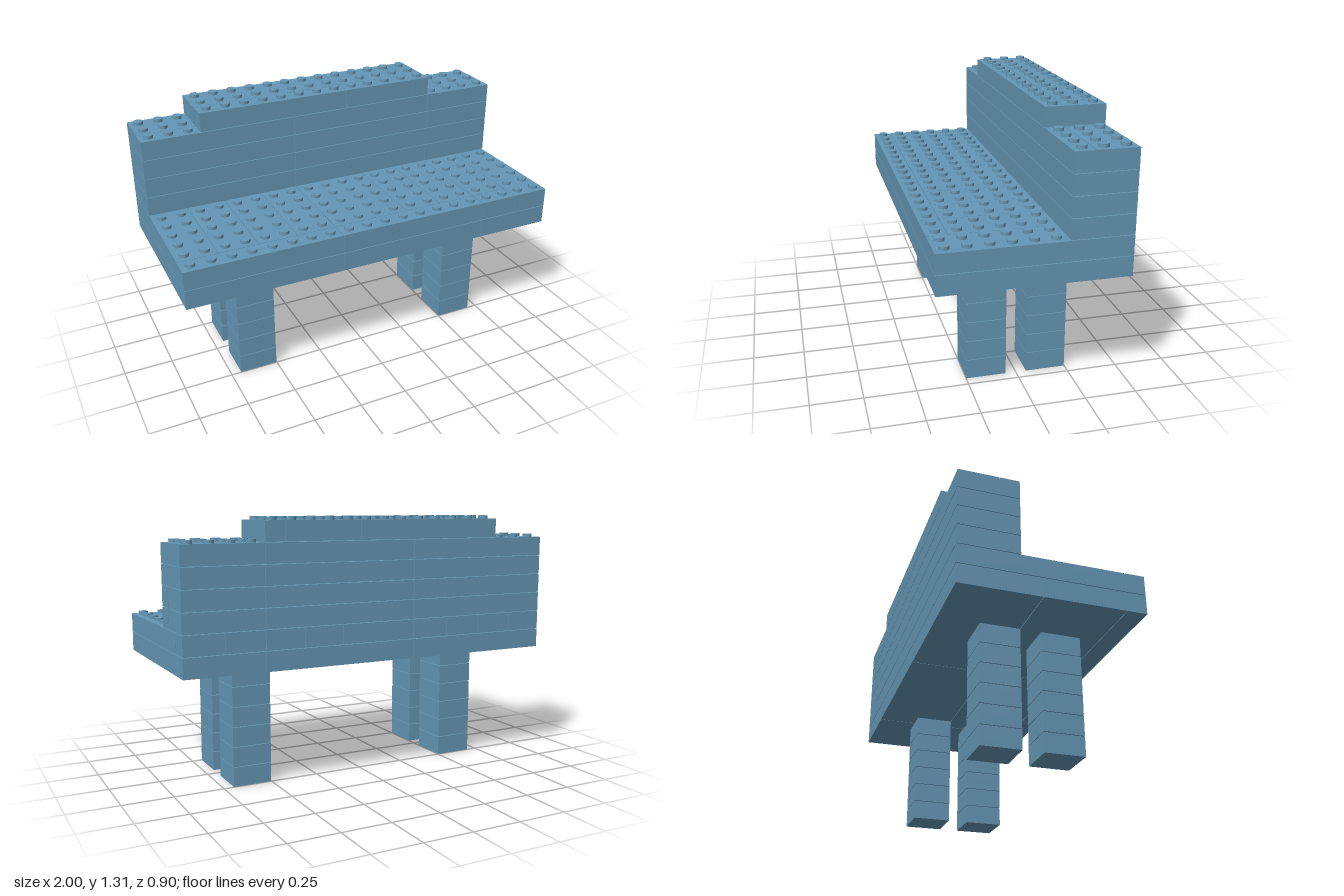
import * as THREE from 'three';

const GAP = 0.003;        // seam between neighbouring bricks
const UNIT = 0.1;         // stud pitch and brick height
const STUD_R = 0.024, STUD_H = 0.016;

export function createModel() {
  const blue = new THREE.MeshStandardMaterial({ color: 0x6596b4 });
  blue.name = 'brickBlue';
  const studGeometry = new THREE.CylinderGeometry(STUD_R, STUD_R, STUD_H, 16);
  const model = new THREE.Group();
  model.name = 'brickBench';

  function part(name) {
    const group = new THREE.Group();
    group.name = name;
    model.add(group);
    return group;
  }

  // One brick filling x0..x1 and z0..z1, one layer high from y
  function brick(group, x0, x1, y, z0, z1) {
    const geometry = new THREE.BoxGeometry(x1 - x0 - GAP, UNIT - GAP, z1 - z0 - GAP);
    const mesh = new THREE.Mesh(geometry, blue);
    mesh.name = 'brick';
    mesh.position.set((x0 + x1) / 2, y + UNIT / 2, (z0 + z1) / 2);
    group.add(mesh);
  }

  // A row of bricks split at the given x positions
  function row(group, xs, y, z0, z1) {
    for (let i = 0; i < xs.length - 1; i++) brick(group, xs[i], xs[i + 1], y, z0, z1);
  }

  // A grid of studs covering a rectangle on height y
  function studs(group, x0, x1, y, z0, z1) {
    const nx = Math.round((x1 - x0) / UNIT), nz = Math.round((z1 - z0) / UNIT);
    for (let i = 0; i < nx; i++) {
      for (let j = 0; j < nz; j++) {
        const stud = new THREE.Mesh(studGeometry, blue);
        stud.name = 'stud';
        stud.position.set(x0 + (i + 0.5) * UNIT, y - GAP / 2 + STUD_H / 2, z0 + (j + 0.5) * UNIT);
        group.add(stud);
      }
    }
  }

  // Four legs, each a stack of six square bricks
  for (const x of [-0.6, 0.6]) {
    for (const z of [-0.15, 0.15]) {
      const leg = part((z > 0 ? 'front' : 'back') + (x > 0 ? 'LeftLeg' : 'RightLeg'));
      for (let k = 0; k < 6; k++) brick(leg, x - 0.1, x + 0.1, k * UNIT, z - 0.1, z + 0.1);
    }
  }

  // Lower seat layer: long boards and a narrow front row
  const seat = part('seat');
  row(seat, [-1, -0.2, 0.6], 0.6, -0.45, -0.05);
  row(seat, [-1, -0.2, 0.6], 0.6, -0.05, 0.35);
  brick(seat, 0.6, 1, 0.6, -0.45, 0.35);
  row(seat, [-1, -0.2, 0.6, 1], 0.6, 0.35, 0.45);

  // Upper seat layer: cross bricks, front row and one shifted end brick
  row(seat, [-1, -0.8, -0.6, -0.4, -0.2, 0.2, 0.4, 0.6, 0.8], 0.7, -0.45, 0.35);
  row(seat, [-1, -0.2, 0.6, 0.8], 0.7, 0.35, 0.45);
  brick(seat, 0.8, 1, 0.7, -0.35, 0.45);
  brick(seat, 0.8, 1, 0.7, -0.45, -0.35);
  studs(seat, -1, 1, 0.8, -0.15, 0.45);

  // Backrest: four layers, two bricks deep
  const backrest = part('backrest');
  for (let k = 0; k < 4; k++) {
    row(backrest, [-1, -0.2, 0.6, 1], 0.8 + k * UNIT, -0.45, -0.25);
    row(backrest, [-1, -0.2, 0.6, 1], 0.8 + k * UNIT, -0.25, -0.15);
  }
  studs(backrest, -1, -0.7, 1.2, -0.45, -0.15);
  studs(backrest, 0.6, 1, 1.2, -0.45, -0.15);

  // Raised top rail
  const rail = part('topRail');
  row(rail, [-0.7, 0.1, 0.5], 1.2, -0.45, -0.25);
  row(rail, [-0.7, 0.1, 0.5], 1.2, -0.25, -0.15);
  brick(rail, 0.5, 0.6, 1.2, -0.45, -0.15);
  studs(rail, -0.7, 0.6, 1.3, -0.45, -0.15);

  return model;
}
